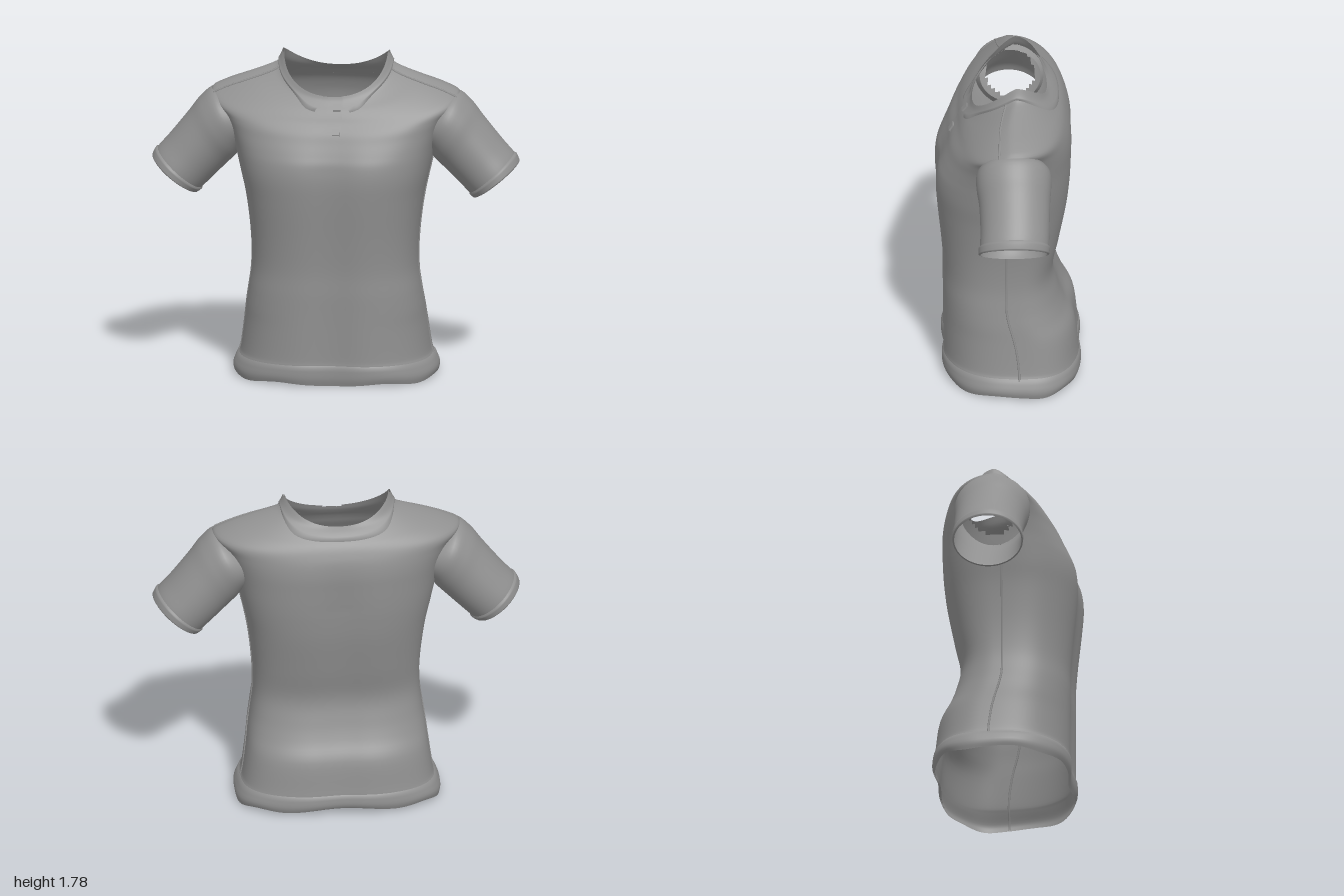
import * as THREE from 'three';

const cloth = new THREE.MeshStandardMaterial({ color: 0x909090, side: THREE.DoubleSide });
cloth.name = 'grey cloth';

// Torso rows below the armpit: y, half width, front depth, back depth, z of the side seam
const lower = [
  [0.012, 0.545, 0.36, 0.38, -0.07],
  [0.05, 0.55, 0.37, 0.39, -0.07],
  [0.11, 0.525, 0.37, 0.385, -0.07],
  [0.15, 0.513, 0.368, 0.38, -0.07],
  [0.3, 0.492, 0.368, 0.36, -0.05],
  [0.4, 0.48, 0.368, 0.308, -0.02],
  [0.5, 0.465, 0.369, 0.27, 0],
  [0.63, 0.45, 0.369, 0.243, 0],
  [0.8, 0.455, 0.382, 0.277, 0],
  [1.0, 0.48, 0.402, 0.316, 0],
  [1.13, 0.508, 0.41, 0.332, 0],
  [1.22, 0.528, 0.4, 0.338, 0],
].map(([y, x, f, b, z]) => [y, y, y, x, f, b, z, 0.75]);

// Rows over the chest and shoulders: side y, front y, back y, half width, front, back, seam z, roundness
const upper = [
  [1.32, 1.28, 1.32, 0.55, 0.375, 0.34, 0, 0.75],
  [1.42, 1.34, 1.4, 0.583, 0.345, 0.34, 0, 0.77],
  [1.5, 1.39, 1.47, 0.624, 0.32, 0.33, 0, 0.8],
  [1.565, 1.44, 1.53, 0.673, 0.285, 0.31, 0, 0.85],
  [1.61, 1.475, 1.57, 0.6, 0.265, 0.29, 0, 0.87],
  [1.655, 1.505, 1.6, 0.48, 0.245, 0.265, 0, 0.88],
  [1.695, 1.53, 1.625, 0.37, 0.225, 0.24, -0.015, 0.9],
  [1.725, 1.555, 1.64, 0.31, 0.208, 0.22, -0.03, 0.9],
  [1.78, 1.575, 1.65, 0.28, 0.2, 0.205, -0.035, 0.9],
];
const rows = [...lower, ...upper];
const base = lower.length;
const last = rows.length - 1;

// Sleeve rows: top x, top y, bottom x, bottom y, front z, back z
const sleeveRows = [
  [0.57, 1.54, 0.43, 1.3, 0.15, -0.18],
  [0.66, 1.572, 0.5, 1.25, 0.185, -0.218],
  [0.735, 1.515, 0.54, 1.2, 0.185, -0.218],
  [0.8, 1.43, 0.59, 1.15, 0.172, -0.211],
  [0.9, 1.305, 0.66, 1.08, 0.167, -0.207],
  [0.965, 1.23, 0.725, 1.015, 0.17, -0.202],
  [0.99, 1.18, 0.755, 0.993, 0.17, -0.195],
];

// Smooth interpolation between neighbouring rows
function rowAt(table, r) {
  const n = table.length - 1;
  const i = Math.min(Math.max(Math.floor(r), 0), n - 1);
  const k = r - i;
  const [a, b, c, d] = [i - 1, i, i + 1, i + 2].map((q) => table[Math.min(Math.max(q, 0), n)]);
  return b.map((_, q) => b[q] + 0.5 * k * (c[q] - a[q]
    + k * (2 * a[q] - 5 * b[q] + 4 * c[q] - d[q] + k * (3 * (b[q] - c[q]) + d[q] - a[q]))));
}

// Point on the torso: t runs around the body, r up the rows
function torso(t, r) {
  const [yS, yF, yB, w, f, b, zS, e] = rowAt(rows, r);
  const c = Math.cos(t), s = Math.sin(t);
  const x = w * Math.sign(c) * Math.abs(c) ** e;
  const m = Math.abs(s);
  let y = s > 0 ? yS + (yF - yS) * m : yS + (yB - yS) * m ** 1.6;
  const fade = THREE.MathUtils.clamp((1.5 - y) / 0.3, 0, 1);
  const groove = 1 - 0.06 * fade * Math.exp(-((x / 0.13) ** 2));
  const z = zS + ((s > 0 ? f : -b) - zS) * m ** e * groove;
  // uneven lower edge, a little higher at the back
  if (r < 2) y += (0.008 * Math.sin(7 * t) + (s < 0 ? 0.02 * m * m : 0)) * (1 - r / 2);
  return new THREE.Vector3(x, y, z);
}

function sleeve(side, a, r) {
  const [tx, ty, bx, by, f, b] = rowAt(sleeveRows, r);
  const c = Math.cos(a), s = -side * Math.sin(a);
  return new THREE.Vector3(
    side * ((tx + bx) / 2 + c * (tx - bx) / 2),
    (ty + by) / 2 + c * (ty - by) / 2,
    (f + b) / 2 + s * (f - b) / 2);
}

function normalAt(fn, t, r) {
  const h = 0.01;
  const du = fn(t + h, r).sub(fn(t - h, r));
  const r0 = Math.max(r - h, 0);
  return fn(t, r0 + 2 * h).sub(fn(t, r0)).cross(du).normalize();
}
const raised = (fn, t, r, d) => fn(t, r).addScaledVector(normalAt(fn, t, Math.min(r, last - 0.03)), d);

// Sheet of quads over (u, v) in 0..1
function sheet(fn, nu, nv, closed, skip = () => false) {
  const pos = [], index = [];
  const cols = closed ? nu : nu + 1;
  for (let j = 0; j <= nv; j++) {
    for (let i = 0; i < cols; i++) pos.push(...fn(i / nu, j / nv).toArray());
  }
  for (let j = 0; j < nv; j++) {
    for (let i = 0; i < nu; i++) {
      if (skip(fn((i + 0.5) / nu, (j + 0.5) / nv))) continue;
      const n = (i + 1) % cols;
      const a = j * cols + i, b = j * cols + n, c = a + cols, d = b + cols;
      index.push(a, c, b, b, c, d);
    }
  }
  const g = new THREE.BufferGeometry();
  g.setAttribute('position', new THREE.Float32BufferAttribute(pos, 3));
  g.setIndex(index);
  g.computeVertexNormals();
  return g;
}

export function createModel() {
  const shirt = new THREE.Group();
  shirt.name = 'poloShirt';
  const add = (name, geometry) => {
    const m = new THREE.Mesh(geometry, cloth);
    m.name = name;
    shirt.add(m);
    return m;
  };
  const TAU = Math.PI * 2;
  const seam = (name, pts) =>
    add(name, new THREE.TubeGeometry(new THREE.CatmullRomCurve3(pts), 40, 0.006, 6));

  // Body, with open armholes inside the sleeves
  const inArmhole = (p) => Math.abs(p.x) > 0.4
    && ((p.y - 1.4) / 0.12) ** 2 + ((p.z + 0.015) / 0.13) ** 2 < 1;
  add('body', sheet((u, v) => torso(u * TAU, v * last), 128, 90, true, inArmhole));

  // Turned-up hem with a soft upper edge
  add('hem', sheet((u, v) => raised(torso, u * TAU, v * 2.1, v === 1 ? 0 : 0.006), 128, 8, true));

  // Folded collar, open and pointed at the front
  add('collar', sheet((u, v) => {
    const t = Math.PI / 2 + 0.15 + u * (TAU - 0.3);
    const s = Math.sin(t);
    const edge = base + 7 - (s > 0 ? 2.4 * s ** 8 : 2.2 * s * s);
    return raised(torso, t, edge + v * (last - edge), v === 0 ? 0 : 0.01);
  }, 96, 10, false));

  // Narrow placket below the neck opening
  add('placket', sheet((u, v) => {
    const p = raised(torso, Math.PI / 2 - 0.01, base + 2 + v * 6, 0.004);
    p.x = 0.055 - u * 0.08;
    return p;
  }, 2, 16, false));

  // Square buttons
  for (const r of [2.25, 5.6]) {
    const t = Math.PI / 2 - 0.02;
    const button = add('button', new THREE.BoxGeometry(0.04, 0.04, 0.012));
    const n = normalAt(torso, t, base + r).setX(0).normalize();
    button.position.copy(torso(t, base + r)).addScaledVector(n, 0.007).setX(0.025);
    button.rotation.x = -Math.asin(n.y);
  }

  for (const side of [1, -1]) {
    const name = side > 0 ? 'left' : 'right';
    const end = sleeveRows.length - 1;
    const fn = (a, r) => sleeve(side, a, r);
    add(name + 'Sleeve', sheet((u, v) => fn(u * TAU, v * end), 48, 30, true));

    // Raised cuff band
    add(name + 'Cuff', sheet((u, v) => {
      const a = u * TAU, r = end - 1 + v;
      const p = fn(a, r);
      const mid = p.clone().add(fn(a + Math.PI, r)).multiplyScalar(0.5);
      return p.add(p.clone().sub(mid).setLength(v === 0 || v === 1 ? 0 : 0.008));
    }, 48, 8, true));

    // Shoulder and side seams
    const line = (t, from, to) => Array.from({ length: 16 }, (_, i) =>
      torso(side > 0 ? t : Math.PI - t, from + (to - from) * i / 15));
    seam(name + 'ShoulderSeam', line(0.18, base + 3, base + 7));
    seam(name + 'SideSeam', line(0.02, 0.1, base - 1));
  }
  return shirt;
}
